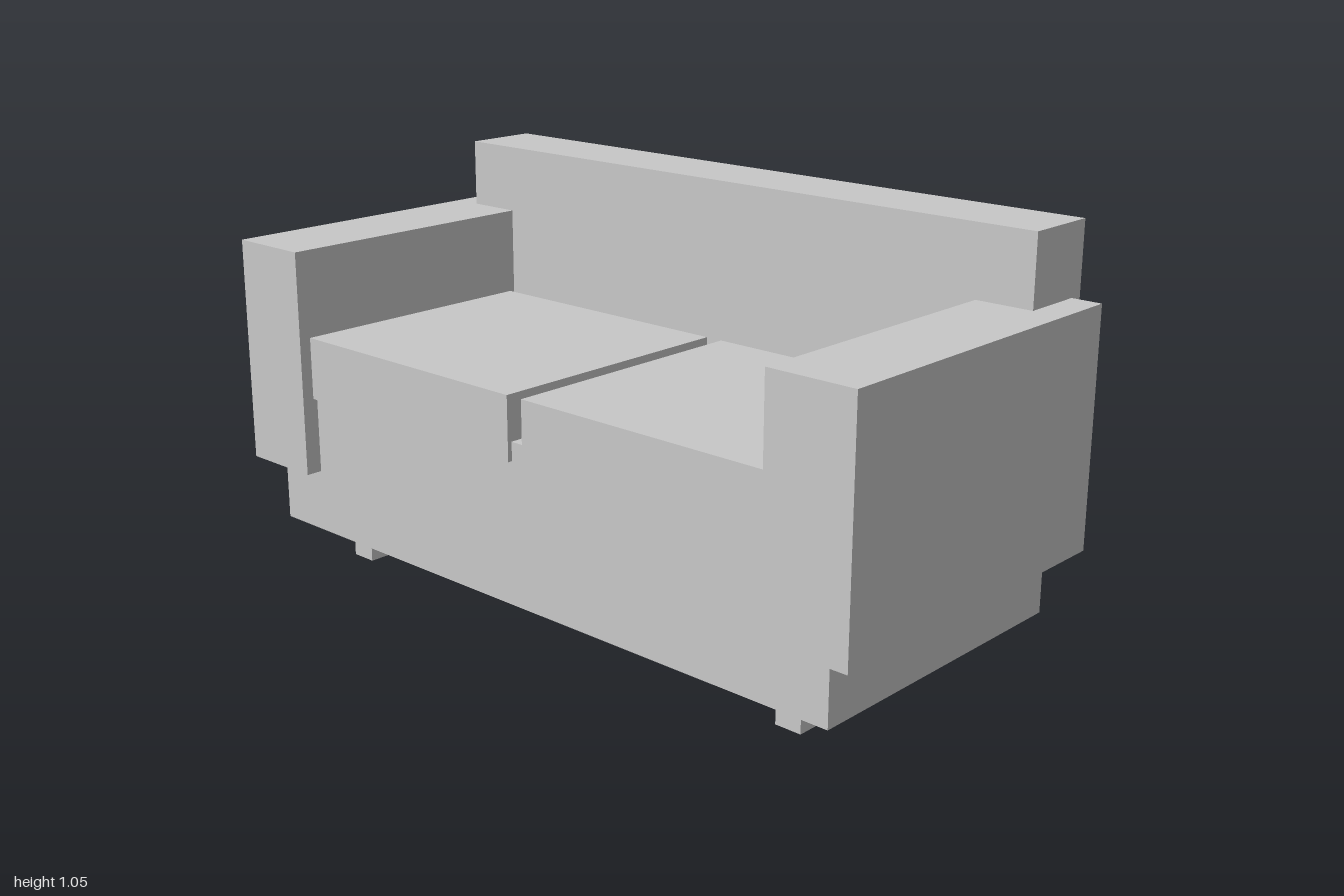
import * as THREE from 'three';

export function createModel() {
  const sofa = new THREE.Group();
  sofa.name = 'sofa';
  const lightGrey = new THREE.MeshStandardMaterial({ color: 0xc8c8c8 });
  lightGrey.name = 'lightGrey';

  // Box given by its extents along each axis
  function box(name, [x0, x1], [y0, y1], [z0, z1]) {
    const mesh = new THREE.Mesh(new THREE.BoxGeometry(x1 - x0, y1 - y0, z1 - z0), lightGrey);
    mesh.position.set((x0 + x1) / 2, (y0 + y1) / 2, (z0 + z1) / 2);
    mesh.name = name;
    sofa.add(mesh);
  }

  // Mirrored pair on the left (+x) and right (-x)
  function pair(name, [x0, x1], y, z) {
    box('left' + name, [x0, x1], y, z);
    box('right' + name, [-x1, -x0], y, z);
  }

  // Seat base and backrest
  box('base', [-0.922, 0.922], [0.101, 0.518], [-0.394, 0.434]);
  box('backrest', [-0.922, 0.922], [0.402, 1.046], [-0.478, -0.276]);

  // Armrests and seat cushions
  pair('Armrest', [0.771, 1], [0.267, 0.866], [-0.441, 0.478]);
  pair('Cushion', [0.024, 0.772], [0.47, 0.635], [-0.261, 0.446]);

  // Legs
  pair('FrontLeg', [0.702, 0.773], [0, 0.101], [0.259, 0.332]);
  pair('BackLeg', [0.702, 0.773], [0, 0.101], [-0.295, -0.221]);

  return sofa;
}
